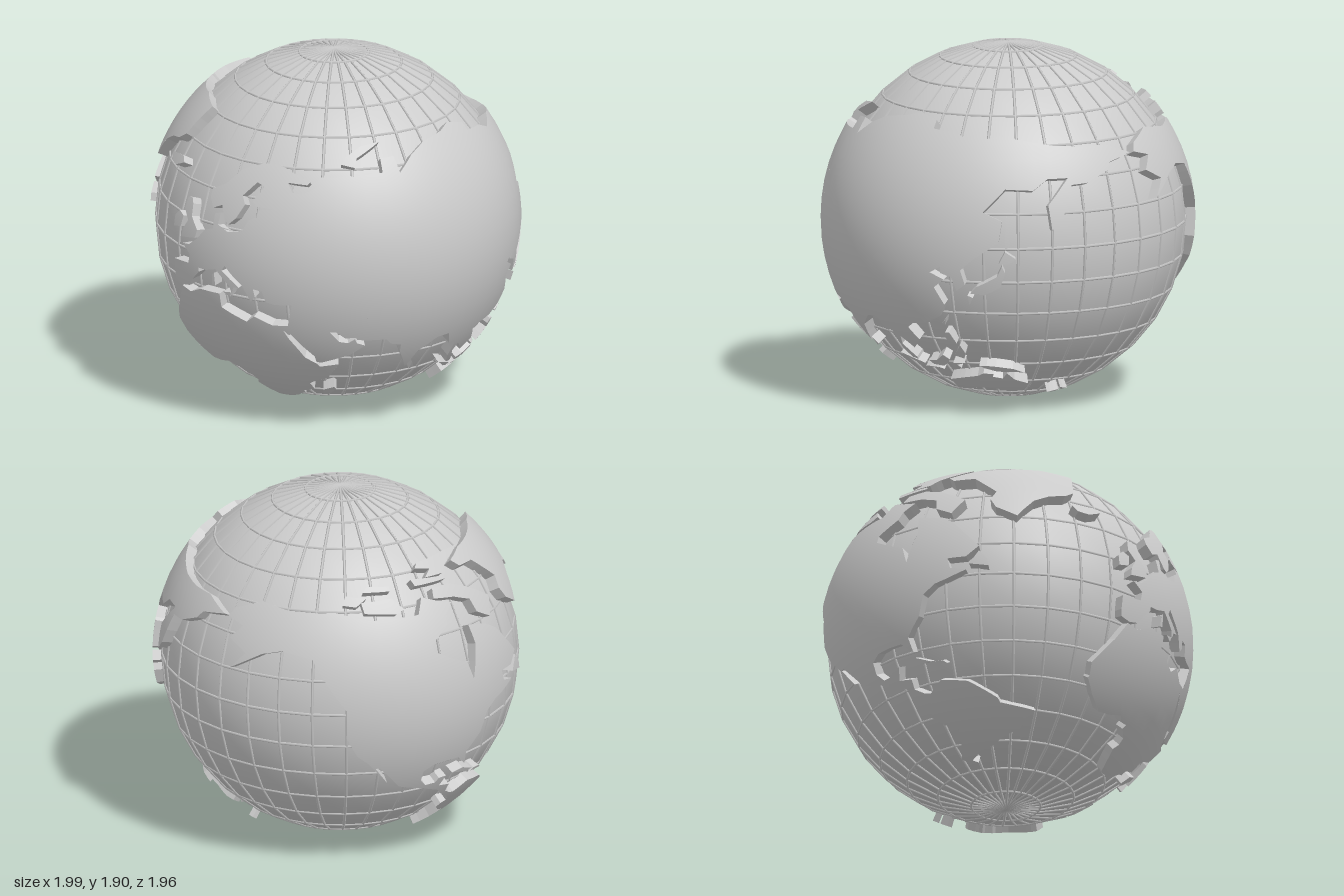
import * as THREE from 'three';
import { mergeGeometries } from 'three/addons/utils/BufferGeometryUtils.js';

const CENTRE_Y = 0.953, OCEAN_R = 0.943, LAND_R = 0.995, LAND_BASE = 0.922;
const STEP = 11.25, CELL = STEP / 2;

// Latitude is squeezed toward the south: [map latitude, latitude on the ball]
const LATS = [[-90, -75], [-55, -62], [-35, -56.5], [-11, -46], [5, -40], [12, -33], [30, -19.5],
  [36, -11], [51, 6], [60, 20], [71, 34], [78, 43], [84, 48]];

// Coast outlines as longitude, latitude pairs
const COASTS = {
  africa: [-6, 35.8, -10, 31.5, -13, 27.7, -17, 21, -16.5, 15.5, -17, 14.5, -13, 9, -7.5, 4.4, -2, 5, 4, 6.4,
    6, 4.3, 9.5, 4, 9, 0, 13, -6, 13.5, -12, 12, -17, 15, -26.5, 18.3, -34, 20, -34.8, 26, -34, 31, -29.5,
    33, -25.5, 35.5, -24, 35, -20, 40.5, -15.5, 39, -6.5, 41.5, -1.8, 47, 4, 51, 11.8, 44, 10.5, 43, 12,
    39, 15.5, 37, 20, 34, 26, 32.5, 30, 34.3, 31.2, 29, 31, 23, 32.7, 20, 31, 15, 32.3, 11, 33.5, 11, 37,
    3, 36.8, -2, 35.1],
  europe: [26.5, 40, 23.5, 40.3, 24, 38, 22.5, 36.5, 19.5, 41, 16, 43.5, 13.5, 45.6, 12.5, 44, 18.5, 40,
    16.5, 39.8, 15.8, 38, 15, 40, 10, 44, 6, 43, 3, 43, 3, 41.8, -0.3, 39, -2, 36.8, -5.6, 36.2, -9, 37,
    -9.2, 39, -9, 43, -1.7, 43.4, -1, 46, -4.5, 48.4, -1.5, 48.7, 2, 51, 5, 53.3, 8.3, 54, 8.2, 57,
    10.5, 57.5, 10, 55, 14, 54, 19, 54.5, 21, 57, 24, 58, 24, 59.3, 29, 59.8, 23, 60, 21.5, 61, 25, 65,
    22, 65.8, 17.5, 62, 19, 60, 16.5, 57, 14, 55.5, 12.5, 56, 10.5, 59, 7, 58, 5, 60, 5, 62, 10, 64,
    15, 68.3, 20, 70, 26, 71, 31, 70.3, 41, 67, 40, 66.3, 33, 66.6, 35, 64.3, 38, 64, 40.5, 64.7,
    44, 66.2, 44, 68.3, 54, 68.5, 60, 68.7, 60, 40],
  middleEast: [26.5, 40, 60, 40, 60, 25.3, 57, 25.8, 56.5, 27, 53, 26.8, 50, 30, 48, 30, 51, 25, 54, 24.2,
    56.2, 26.2, 57, 24, 59.8, 22.5, 55, 17.5, 45, 12.8, 43, 13, 42.5, 16.5, 39, 21.5, 35, 28, 34.2, 27.8,
    32.5, 30, 34.3, 31.2, 36, 36.7, 30.5, 36.4, 27.5, 37],
  asia: [60, 68.7, 67, 69, 67, 72.5, 72.5, 72.8, 73.5, 68.5, 80, 72.5, 87, 75, 98, 76.3, 104, 77.7, 113, 76,
    113, 73.7, 123, 73, 129, 71, 140, 72.5, 151, 71, 160, 69.7, 170, 69, 180, 69, 190, 66, 180, 64.5,
    178, 62.5, 170, 60, 164, 59.8, 162, 56, 160, 53, 156.7, 51, 155.7, 56, 163, 61.5, 156, 61.5, 151, 59,
    142, 59.3, 135, 54.7, 141, 53, 140, 48, 132, 43.2, 128, 40, 129.3, 36, 126.5, 34.5, 125, 38,
    121.5, 39, 121.5, 40.8, 118, 39, 122.5, 37.2, 119, 35, 122, 31, 120, 26.5, 115, 22.7, 108.5, 21.5,
    106, 19, 109, 13, 105, 9, 103, 11, 100.5, 13.5, 99.5, 10, 103.5, 4, 103.5, 1.4, 101, 3, 98.5, 8,
    97.5, 16.5, 94.3, 16, 92, 22, 87, 21.5, 80.3, 15.5, 77.5, 8, 73, 17, 72.7, 21, 69, 22.3, 67, 25,
    60, 25.3],
  northAmerica: [-168, 66, -166, 68.3, -156, 71.3, -141, 69.6, -128, 70.3, -115, 68, -97, 68, -94, 72, -85, 69.5,
    -82, 69, -86, 66.5, -87, 64, -94, 60.5, -94, 58.8, -88, 56.7, -82, 55, -80, 51.3, -78.5, 54.5, -77, 58,
    -78, 62.4, -70, 61, -65, 59, -61, 56, -56, 52.5, -60, 50, -66, 50, -65, 47, -60, 46, -66, 44, -70, 43,
    -74, 40.5, -76, 35, -81, 31, -80, 25.5, -82.5, 28, -84, 30, -89, 30, -94, 29.5, -97.3, 27, -97.5, 22,
    -95, 18.5, -91, 18.7, -90, 21, -87, 21.3, -88.5, 16, -83.5, 15, -83.5, 11, -80, 9, -77.5, 8.5,
    -80, 7.3, -85, 10, -88, 13, -94, 16, -105.5, 20.5, -109, 26, -113, 31, -114.5, 31, -110, 23.5,
    -117, 32.5, -120.5, 34.5, -124, 40, -124, 48, -130, 54, -135, 59, -145, 60.2, -152, 59, -163, 55,
    -158, 58.5, -165, 61, -161, 64.5],
  southAmerica: [-77.5, 8.5, -72, 12, -62, 10.5, -51, 4, -50, 0, -44, -2.7, -35, -6, -39, -13, -41, -22, -48, -26,
    -54, -34, -57.5, -36.5, -62, -39, -65, -45, -69, -51, -65.5, -55, -72, -53, -75.5, -47, -73.5, -39,
    -71.5, -30, -70.3, -18, -76, -14, -81, -5, -80, 0, -78, 3, -80, 7.3],
  greenland: [-44, 60, -51, 63, -53, 66, -51, 69, -55, 72, -60, 75.8, -69, 76.2, -72, 78.5, -62, 81.5, -45, 82.5,
    -32, 83.5, -18, 81, -20, 76, -22, 71, -26, 69, -32, 68, -38, 65.6, -42, 62],
  australia: [114, -22, 122, -18, 129, -15, 132, -11.5, 136.5, -12, 136, -15.5, 140.5, -17.5, 142.5, -11, 146, -19,
    153, -25, 153, -31, 150, -37.5, 146, -39, 140, -37.5, 138, -33.5, 131, -31.5, 124, -33.5, 118, -35, 115, -34],
  britain: [-5.5, 50, 1, 51, 1.7, 52.7, -1.5, 55, -2, 57.5, -3, 58.6, -5, 58.5, -5.5, 56, -3, 54, -5, 52],
  ireland: [-10, 51.7, -6.3, 52.2, -5.6, 54.5, -8, 55.2, -10, 54],
  iceland: [-22.5, 63.8, -18.5, 63.4, -13.6, 65, -16, 66.4, -21, 66, -24.3, 65.6],
  novayaZemlya: [52, 71.5, 57, 70.6, 58, 73, 68, 76.8, 60, 76, 54, 73.5],
  baffinIsland: [-62, 66.5, -66, 62, -72, 64.5, -73, 68, -80, 70, -89, 71, -88, 73.5, -80, 73.5, -73, 71.5, -67, 69],
  victoriaIsland: [-117, 69.8, -105, 69, -102, 70, -106, 73, -118, 72.5],
  banksIsland: [-125, 72, -120, 71.5, -116, 73.5, -124, 74.3],
  devonIsland: [-95, 75, -80, 74.8, -81, 75.8, -96, 76.8],
  melvilleIsland: [-117, 75, -106, 74.8, -106, 76, -115, 76.5],
  ellesmereIsland: [-80, 76.3, -76, 78.5, -62, 82.5, -72, 83.2, -90, 82, -92, 80, -85, 78.5, -89, 76.5],
  newfoundland: [-59, 47.7, -53, 46.8, -53.5, 49, -56, 51.4],
  cuba: [-84.5, 22, -77.5, 19.9, -74.3, 20.2, -80, 23.1],
  hispaniola: [-74, 18.4, -68.5, 18.4, -70, 19.8, -73, 19.9],
  honshu: [131, 34, 135.5, 33.7, 140.5, 35.5, 142, 39.5, 141, 41.3, 139.5, 38.5, 136.5, 37, 133, 35.6],
  kyushu: [130, 33.5, 130.5, 31.2, 131.7, 33],
  hokkaido: [140, 42, 143.3, 42.1, 145.3, 43.5, 142, 45.4],
  sakhalin: [142, 46, 143.5, 47, 143.2, 53.5, 142.3, 54, 142, 50],
  taiwan: [120.2, 22.8, 121, 22, 121.8, 25.1],
  luzon: [120, 16, 121, 13.8, 124, 12.7, 122, 18.4, 120.5, 18.3],
  mindanao: [122, 7.2, 125.5, 6, 126.5, 8.5, 125, 11.8],
  borneo: [109, 1.5, 110.3, -2.9, 115, -4, 118, 1, 119, 5.2, 116.8, 7, 113, 3.2],
  sumatra: [95.3, 5.6, 98.5, 1.7, 102, -4, 105, -5.8, 106, -3, 103, 0, 98, 4.5],
  java: [105.3, -6.6, 114.4, -8.6, 112.5, -6.8, 108, -6.3],
  sulawesi: [119.5, -5.4, 121, -2.5, 123, -5, 121.5, -1, 125, 1.6, 120, 1.2, 119, -3],
  newGuinea: [131, -1, 134, -0.8, 138, -1.7, 145, -4.5, 150.5, -10.5, 146, -8.5, 143, -9.2, 138, -8, 133, -4],
  tasmania: [144.7, -40.8, 146.5, -43.6, 148.3, -41],
  newZealandNorth: [173, -34.6, 175.5, -36.7, 178.4, -37.8, 175.3, -41.5, 174, -39],
  newZealandSouth: [173, -40.6, 174, -41.7, 170.5, -46, 167, -46.2, 171, -42.5],
  madagascar: [44, -25, 47, -25, 50.4, -15.5, 49.3, -12, 44.3, -17],
  sriLanka: [80, 6.2, 81.8, 7, 80, 9.7],
  sicily: [12.5, 37.9, 15, 36.8, 15.5, 38.2],
  sardinia: [8.4, 39, 9.6, 39.2, 9.4, 42.8, 8.6, 42.3],
};

function ballLatitude(lat) {
  const i = Math.max(1, LATS.findIndex(([a]) => lat <= a));
  const [[a0, b0], [a1, b1]] = [LATS[i - 1], LATS[i]];
  return b0 + (b1 - b0) * (lat - a0) / (a1 - a0);
}

function onBall(p, r) {
  const lon = THREE.MathUtils.degToRad(p.x), lat = THREE.MathUtils.degToRad(p.y);
  return new THREE.Vector3(Math.sin(lon) * Math.cos(lat), Math.sin(lat), Math.cos(lon) * Math.cos(lat)).multiplyScalar(r);
}

// Counter-clockwise outline with long edges divided so that they follow the ball
function outline(coast) {
  const corners = [];
  for (let i = 0; i < coast.length; i += 2) corners.push(new THREE.Vector2(coast[i] - STEP, ballLatitude(coast[i + 1])));
  if (THREE.ShapeUtils.isClockWise(corners)) corners.reverse();
  return corners.flatMap((a, i) => {
    const b = corners[(i + 1) % corners.length], n = Math.ceil(a.distanceTo(b) / 4);
    return Array.from({ length: n }, (_, k) => a.clone().lerp(b, k / n));
  });
}

// Keeps the part of a polygon where sign * (p[axis] - limit) >= 0
function clip(poly, axis, limit, sign) {
  const out = [];
  poly.forEach((a, i) => {
    const b = poly[(i + 1) % poly.length];
    const da = sign * (a[axis] - limit), db = sign * (b[axis] - limit);
    if (da >= 0) out.push(a);
    if ((da > 0 && db < 0) || (da < 0 && db > 0)) out.push(a.clone().lerp(b, da / (da - db)));
  });
  return out;
}

function landGeometry(coast) {
  const ring = outline(coast), pos = [], nor = [];
  const add = (v, n) => { pos.push(v.x, v.y, v.z); nor.push(n.x, n.y, n.z); };
  const box = new THREE.Box2().setFromPoints(ring);

  // curved top, cut into small cells
  for (let u = Math.floor(box.min.x / CELL) * CELL; u < box.max.x; u += CELL) {
    const strip = clip(clip(ring, 'x', u, 1), 'x', u + CELL, -1);
    for (let v = Math.floor(box.min.y / CELL) * CELL; v < box.max.y; v += CELL) {
      const cell = clip(clip(strip, 'y', v, 1), 'y', v + CELL, -1);
      if (cell.length < 3) continue;
      for (const tri of THREE.ShapeUtils.triangulateShape(cell, [])) {
        const t = tri.map((k) => cell[k]);
        if (THREE.ShapeUtils.isClockWise(t)) t.reverse();
        t.forEach((p) => add(onBall(p, LAND_R), onBall(p, 1)));
      }
    }
  }

  // cliff around the coast
  ring.forEach((a, i) => {
    const b = ring[(i + 1) % ring.length];
    const [a0, b0, b1, a1] = [onBall(a, LAND_BASE), onBall(b, LAND_BASE), onBall(b, LAND_R), onBall(a, LAND_R)];
    const n = b0.clone().sub(a0).cross(a1.clone().sub(a0)).normalize();
    [a0, b0, b1, a0, b1, a1].forEach((p) => add(p, n));
  });

  const g = new THREE.BufferGeometry();
  g.setAttribute('position', new THREE.Float32BufferAttribute(pos, 3));
  g.setAttribute('normal', new THREE.Float32BufferAttribute(nor, 3));
  return g;
}

// Thin bars along the meridians and parallels
function gridGeometry() {
  const bars = [], ring = (r) => new THREE.TorusGeometry(r, 0.008, 4, 32);
  for (let i = 0; i < 16; i++) bars.push(ring(OCEAN_R).rotateY(i * Math.PI / 16));
  for (let i = 1; i < 16; i++) {
    const a = i * Math.PI / 16;
    bars.push(ring(OCEAN_R * Math.sin(a)).rotateX(Math.PI / 2).translate(0, OCEAN_R * Math.cos(a), 0));
  }
  return mergeGeometries(bars);
}

export function createModel() {
  const group = new THREE.Group();
  group.name = 'globe';
  const material = new THREE.MeshStandardMaterial({ color: 0xcccccc });
  const addPart = (name, geometry) => {
    const mesh = new THREE.Mesh(geometry, material);
    mesh.name = name;
    mesh.position.y = CENTRE_Y;
    group.add(mesh);
  };
  addPart('oceanBall', new THREE.SphereGeometry(OCEAN_R, 32, 16));
  addPart('gridLines', gridGeometry());
  for (const [name, coast] of Object.entries(COASTS)) addPart(name, landGeometry(coast));
  return group;
}
